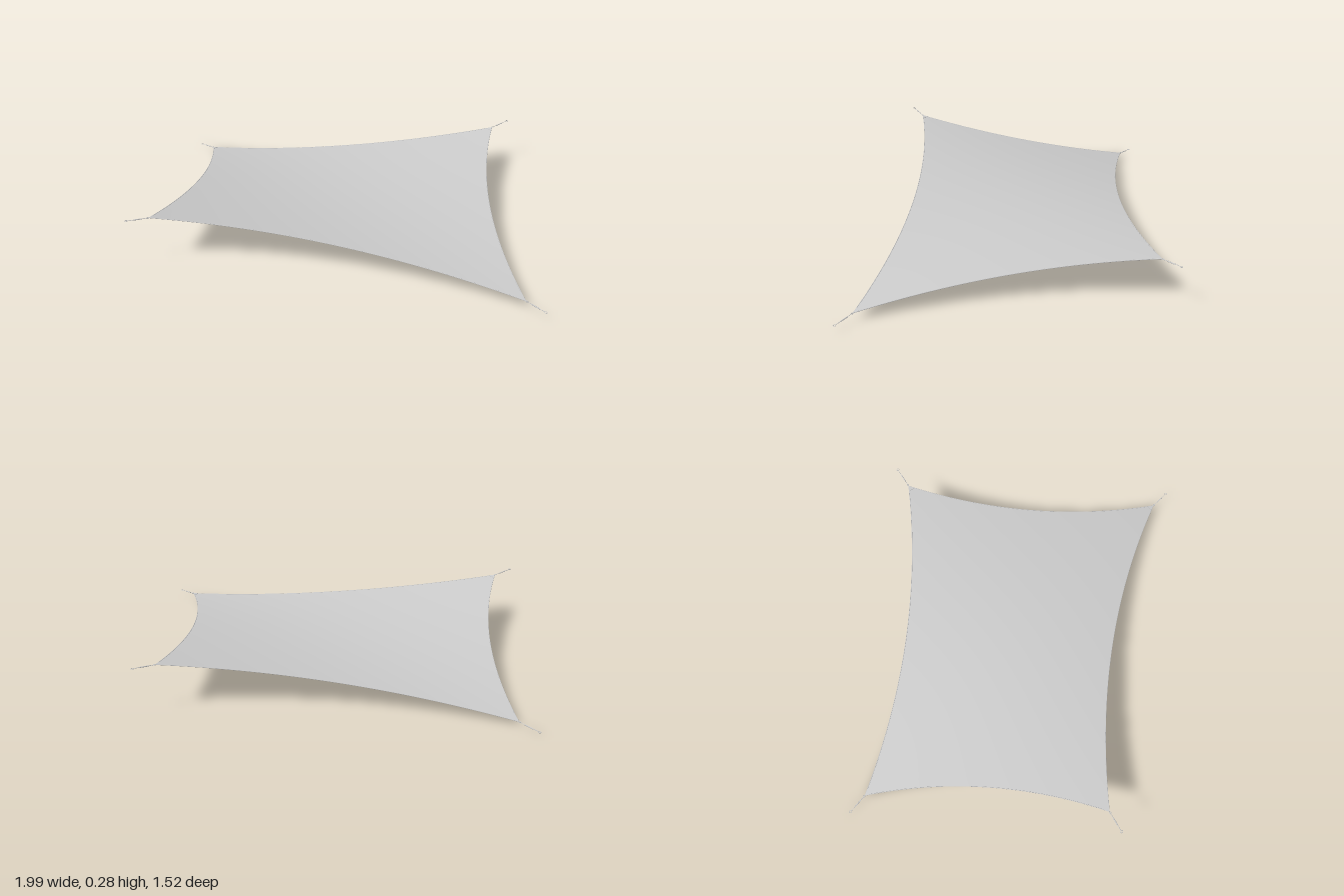
import * as THREE from 'three';
import { ConvexGeometry } from 'three/addons/geometries/ConvexGeometry.js';

const V = (x, y, z) => new THREE.Vector3(x, y, z);

// Sail corners and the cable ends beyond them
const backRight = V(-0.905, 0.02, -0.68), backLeft = V(0.76, 0.25, -0.685);
const frontLeft = V(0.9, 0.047, 0.68), frontRight = V(-0.89, 0.272, 0.54);
const corners = [
  { name: 'backRight', p: backRight, tip: V(-0.993, 0.004, -0.742), u: 0, v: 0 },
  { name: 'backLeft', p: backLeft, tip: V(0.847, 0.262, -0.757), u: 1, v: 0 },
  { name: 'frontLeft', p: frontLeft, tip: V(0.987, 0.04, 0.747), u: 1, v: 1 },
  { name: 'frontRight', p: frontRight, tip: V(-0.98, 0.286, 0.603), u: 0, v: 1 },
];

// Edge between two corners, bowed inward
const edge = (a, b, dx, dz) => (t) => {
  const s = 4 * t * (1 - t);
  return a.clone().lerp(b, t).add(V(dx * s, 0, dz * s));
};
const back = edge(backRight, backLeft, 0, 0.1);
const front = edge(frontRight, frontLeft, 0, -0.108);
const right = edge(backRight, frontRight, 0.08, 0);
const left = edge(backLeft, frontLeft, -0.09, 0);

// Saddle surface blended from the four edges
function sailPoint(u, v) {
  const p = back(u).lerp(front(u), v).add(right(v).lerp(left(v), u));
  const c = backRight.clone().lerp(backLeft, u).lerp(frontRight.clone().lerp(frontLeft, u), v);
  return p.sub(c);
}

export function createModel() {
  const group = new THREE.Group();
  const material = new THREE.MeshStandardMaterial({ color: 0xcccccc });
  const cloth = new THREE.MeshStandardMaterial({ color: 0xcccccc, side: THREE.DoubleSide });
  const add = (name, geometry, mat = material, parent = group) => {
    const mesh = new THREE.Mesh(geometry, mat);
    mesh.name = name;
    parent.add(mesh);
    return mesh;
  };

  // Fabric
  const fabric = new THREE.PlaneGeometry(1, 1, 40, 40);
  const pos = fabric.attributes.position, uv = fabric.attributes.uv;
  for (let i = 0; i < pos.count; i++) {
    const p = sailPoint(uv.getX(i), 1 - uv.getY(i));
    pos.setXYZ(i, p.x, p.y, p.z);
  }
  fabric.computeVertexNormals();
  add('sailFabric', fabric, cloth);

  // Hem cord along each edge
  Object.entries({ back, front, right, left }).forEach(([name, fn]) => {
    const pts = Array.from({ length: 21 }, (_, i) => fn(i / 20));
    add(name + 'HemCord', new THREE.TubeGeometry(new THREE.CatmullRomCurve3(pts), 40, 0.002, 6));
  });

  // Corner hardware: plate, cable, tensioner and end rings
  for (const { name, p, tip, u, v } of corners) {
    const rig = new THREE.Group();
    rig.name = name + 'Rigging';
    group.add(rig);

    const du = u ? -0.018 : 0.018, dv = v ? -0.024 : 0.024;
    const plate = [p, sailPoint(u + du, v), sailPoint(u, v + dv)];
    const both = plate.flatMap((q) => [-0.002, 0.002].map((h) => q.clone().add(V(0, h, 0))));
    add('cornerPlate', new ConvexGeometry(both), material, rig);

    const dir = tip.clone().sub(p).normalize();
    const rod = (label, a, b, r) => {
      const from = p.clone().lerp(tip, a), to = p.clone().lerp(tip, b);
      const m = add(label, new THREE.CylinderGeometry(r, r, from.distanceTo(to), 8), material, rig);
      m.position.copy(from).lerp(to, 0.5);
      m.quaternion.setFromUnitVectors(V(0, 1, 0), dir);
    };
    rod('cable', 0, 0.94, 0.0014);
    rod('tensioner', 0.3, 0.68, 0.0028);

    for (const [label, at, r] of [['cornerRing', 0.06, 0.005], ['anchorRing', 1, 0.006]]) {
      const ring = add(label, new THREE.TorusGeometry(r, 0.0015, 6, 16), material, rig);
      ring.position.copy(p).lerp(tip, at);
      ring.rotation.x = Math.PI / 2;
    }
  }
  return group;
}
